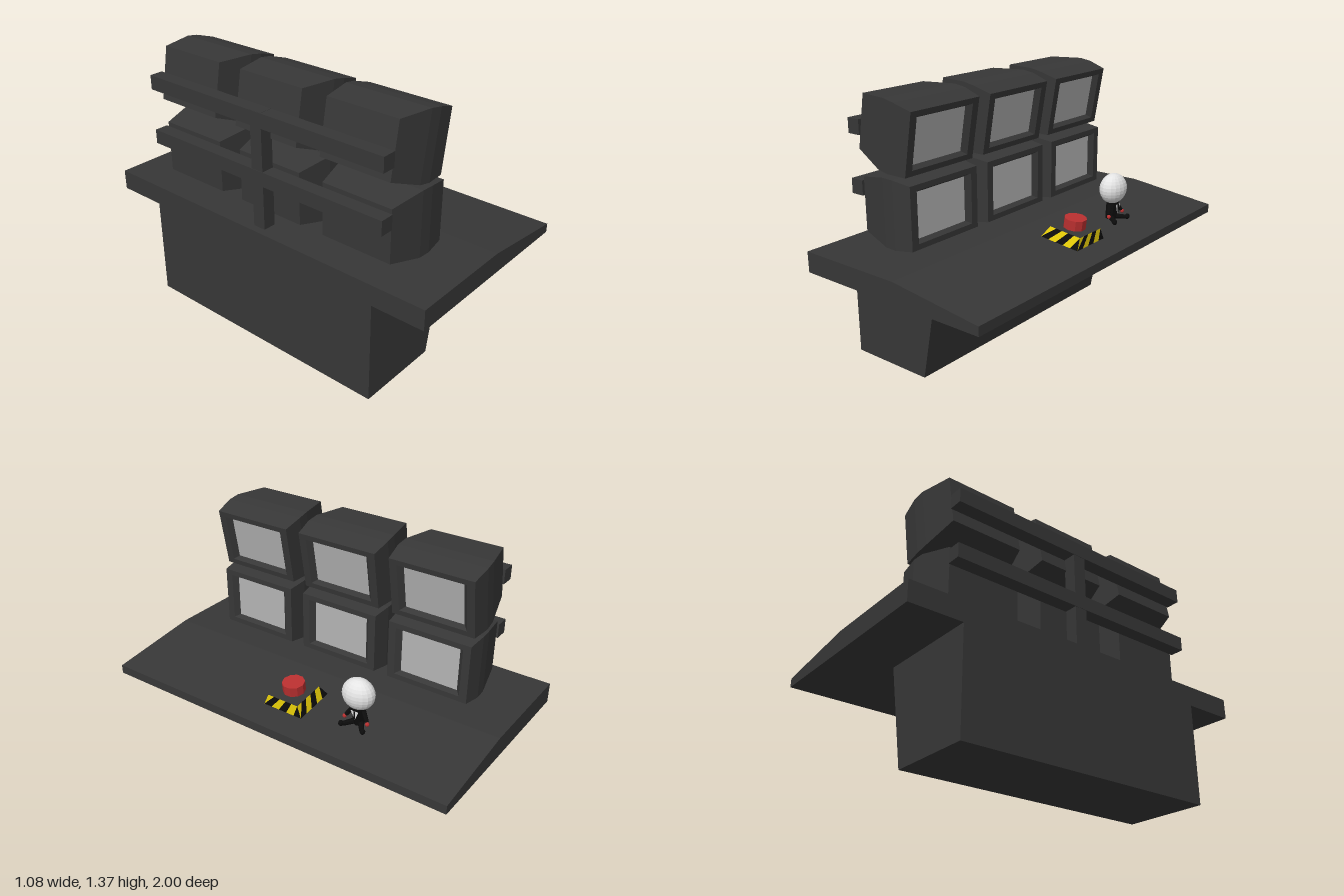
import * as THREE from 'three';

const mat = (name, color, flatShading = true) => {
  const m = new THREE.MeshStandardMaterial({ color, flatShading });
  m.name = name;
  return m;
};

export function createModel() {
  const root = new THREE.Group();
  root.name = 'controlDesk';
  const dark = mat('charcoal', 0x373737);
  const glass = mat('screenGrey', 0xb4b4b4);
  const red = mat('buttonRed', 0xba3030);
  const yellow = mat('warningYellow', 0xe6cc08);
  const black = mat('black', 0x0c0c0c);
  const white = mat('white', 0xe4e4e4);
  glass.side = white.side = THREE.DoubleSide;

  const add = (parent, name, geo, material, x = 0, y = 0, z = 0) => {
    const m = new THREE.Mesh(geo, material);
    m.name = name;
    m.position.set(x, y, z);
    parent.add(m);
    return m;
  };
  // flat surface from a list of quads, corners counter-clockwise
  const quads = (list) => {
    const pos = [];
    for (const [a, b, c, d] of list) for (const p of [a, b, c, a, c, d]) pos.push(...p);
    const g = new THREE.BufferGeometry();
    g.setAttribute('position', new THREE.Float32BufferAttribute(pos, 3));
    g.computeVertexNormals();
    return g;
  };
  // side profile extruded along z, centred
  const profile = (pts, depth) =>
    new THREE.ExtrudeGeometry(new THREE.Shape(pts.map((p) => new THREE.Vector2(...p))), { depth, bevelEnabled: false })
      .translate(0, 0, -depth / 2);
  const rod = (parent, name, a, b, r0, r1, material) => {
    const A = new THREE.Vector3(...a), B = new THREE.Vector3(...b);
    const m = add(parent, name, new THREE.CylinderGeometry(r1, r0, A.distanceTo(B), 8), material);
    m.position.copy(A).lerp(B, 0.5);
    m.quaternion.setFromUnitVectors(new THREE.Vector3(0, 1, 0), B.sub(A).normalize());
    return m;
  };

  // desk
  add(root, 'base', profile([[-0.54, 0], [-0.075, 0], [0.03, 0.53], [-0.54, 0.53]], 1.44), dark);
  add(root, 'desktop', profile([[-0.54, 0.53], [0.54, 0.53], [0.54, 0.577], [0.04, 0.637], [-0.54, 0.637]], 2), dark);
  const deskY = (x) => 0.637 - 0.12 * (x - 0.04);

  // monitor rack
  add(root, 'rackPost', new THREE.BoxGeometry(0.07, 0.61, 0.07), dark, -0.465, 0.94, 0);
  for (const y of [0.908, 1.206])
    add(root, 'rackBar', new THREE.BoxGeometry(0.074, 0.076, 1.47), dark, -0.465, y, 0);

  // monitor shell: rectangular rings [x, halfHeight, halfWidth] from back to recessed screen
  const rings = [
    [-0.345, 0.138, 0.195], [-0.17, 0.172, 0.233], [-0.105, 0.172, 0.237],
    [0, 0.158, 0.226], [0, 0.13, 0.185], [-0.025, 0.115, 0.16],
  ].map(([x, h, w]) => [[x, -h, w], [x, -h, -w], [x, h, -w], [x, h, w]]);
  const shell = [[...rings[0]].reverse()];
  for (let i = 0; i < rings.length - 1; i++)
    for (let j = 0; j < 4; j++) {
      const k = (j + 1) % 4;
      shell.push([rings[i][j], rings[i][k], rings[i + 1][k], rings[i + 1][j]]);
    }
  const shellGeo = quads(shell), screenGeo = quads([rings[5]]);
  for (const [y, tilt] of [[0.828, 0], [1.176, -0.174]])
    for (const z of [-0.532, 0, 0.532]) {
      const monitor = new THREE.Group();
      monitor.name = 'monitor';
      monitor.position.set(-0.077, y, z);
      monitor.rotation.z = tilt;
      add(monitor, 'monitorShell', shellGeo, dark);
      add(monitor, 'monitorScreen', screenGeo, glass);
      root.add(monitor);
    }

  // warning plinth with diagonal stripes on four sloping sides
  const corner = (x, z, lift) => new THREE.Vector3(x, deskY(x) + lift, z);
  const low = [[0.177, 0.115], [0.4, 0.115], [0.4, -0.115], [0.177, -0.115]].map((p) => corner(...p, 0));
  const high = [[0.215, 0.09], [0.396, 0.09], [0.396, -0.09], [0.215, -0.09]].map((p) => corner(...p, 0.06));
  const stripes = [[], []];
  const N = 5, clamp = (t) => Math.min(1, Math.max(0, t));
  for (let i = 0; i < 4; i++) {
    const j = (i + 1) % 4;
    const at = (row, k) => row[i].clone().lerp(row[j], clamp(k / N)).toArray();
    for (let k = -1; k < N; k++)
      stripes[(k + 1) % 2].push([at(low, k), at(low, k + 1), at(high, k + 2), at(high, k + 1)]);
  }
  add(root, 'plinthYellowStripes', quads(stripes[0]), yellow);
  add(root, 'plinthBlackStripes', quads(stripes[1]), black);
  add(root, 'plinthTop', quads([high.map((p) => p.toArray())]), dark);
  const button = add(root, 'button', new THREE.CylinderGeometry(0.058, 0.058, 0.056, 10), red, 0.303, 0.69, 0);
  button.rotation.z = -0.12;

  // small seated figure facing +x
  const figure = new THREE.Group();
  figure.name = 'seatedFigure';
  figure.position.set(0.285, 0, -0.373);
  root.add(figure);
  const head = add(figure, 'head', new THREE.SphereGeometry(1, 18, 14), white, 0, 0.777, 0);
  head.scale.set(0.067, 0.081, 0.086);
  rod(figure, 'torso', [-0.01, 0.607, 0], [0, 0.705, 0], 0.03, 0.034, black);
  add(figure, 'shirtFront', quads([[[0.034, 0.695, 0.022], [0.03, 0.64, 0], [0.03, 0.64, 0], [0.034, 0.695, -0.022]]]), white);
  add(figure, 'tie', new THREE.BoxGeometry(0.004, 0.045, 0.007), black, 0.035, 0.672, 0);
  for (const s of [-1, 1]) {
    rod(figure, 'arm', [0, 0.69, s * 0.03], [0.015, 0.645, s * 0.06], 0.012, 0.01, black);
    add(figure, 'hand', new THREE.SphereGeometry(0.011, 8, 6), red, 0.02, 0.637, s * 0.065);
    rod(figure, 'leg', [0, 0.618, s * 0.015], [0.05, 0.612, s * 0.055], 0.015, 0.012, black);
    const shoe = add(figure, 'shoe', new THREE.SphereGeometry(1, 8, 6), black, 0.055, 0.614, s * 0.062);
    shoe.scale.set(0.014, 0.016, 0.014);
  }
  return root;
}
